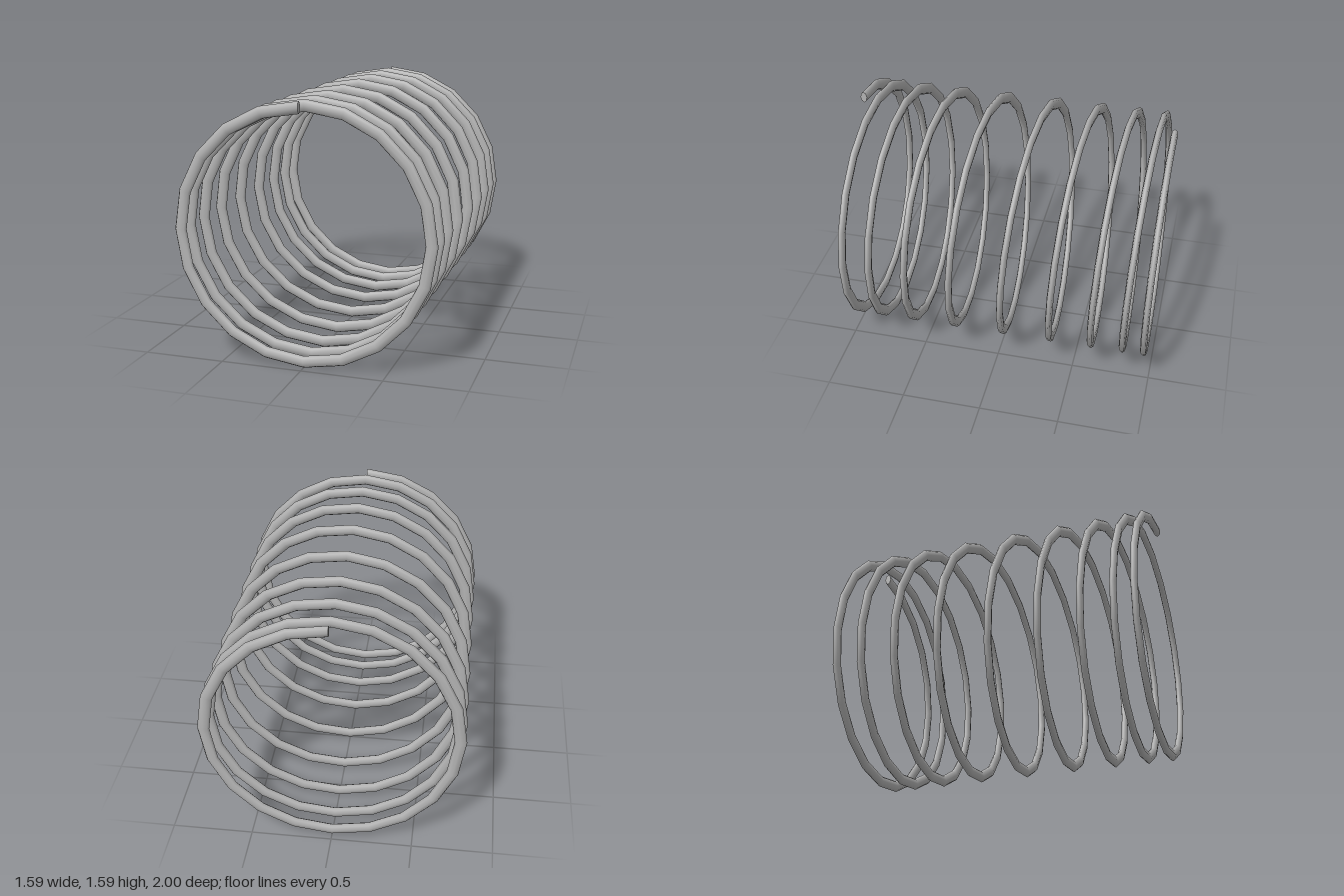
import * as THREE from 'three';

const TURNS = 9, STEPS = 20, SIDES = 8;
const COIL_R = 0.757, CENTRE_Y = 0.8;
const WIRE_R = 0.0365, WIRE_Z = 0.021; // wire is flattened along the axis

// Distance from the middle after each half turn: coils tighten toward the ends
const half = [0, 0.165, 0.316, 0.459, 0.588, 0.7, 0.798, 0.884, 0.946, 0.979];
const spacing = new THREE.SplineCurve(
  [...half.slice(1).reverse().map(v => -v), ...half].map((z, i) => new THREE.Vector2(i, z))
);

function wireGeometry() {
  const pos = [], index = [], rings = TURNS * STEPS;
  for (let i = 0; i <= rings; i++) {
    const th = (i / STEPS) * Math.PI * 2;
    const z = spacing.getPoint(i / rings).y;
    for (let j = 0; j < SIDES; j++) {
      const a = (j / SIDES) * Math.PI * 2;
      const r = COIL_R + WIRE_R * Math.cos(a);
      pos.push(r * Math.sin(th), CENTRE_Y + r * Math.cos(th), z + WIRE_Z * Math.sin(a));
      if (i < rings) {
        const k = (j + 1) % SIDES, p = i * SIDES, q = p + SIDES;
        index.push(p + j, p + k, q + j, p + k, q + k, q + j);
      }
    }
  }
  const g = new THREE.BufferGeometry();
  g.setAttribute('position', new THREE.Float32BufferAttribute(pos, 3));
  g.setIndex(index);
  g.computeVertexNormals();
  return g;
}

export function createModel() {
  const model = new THREE.Group();
  model.name = 'coilSpring';
  const steel = new THREE.MeshStandardMaterial({ color: 0xb2b2b2 });
  steel.name = 'steel grey';

  // Coiled wire
  const wire = new THREE.Mesh(wireGeometry(), steel);
  wire.name = 'coiledWire';
  model.add(wire);

  // Flat cut at each end of the wire
  for (const side of [-1, 1]) {
    const cap = new THREE.Mesh(
      new THREE.CircleGeometry(1, SIDES).scale(WIRE_Z, WIRE_R, 1).rotateY(side * Math.PI / 2),
      steel
    );
    cap.position.set(0, CENTRE_Y + COIL_R, side * 0.979);
    cap.name = side < 0 ? 'backWireEnd' : 'frontWireEnd';
    model.add(cap);
  }
  return model;
}
